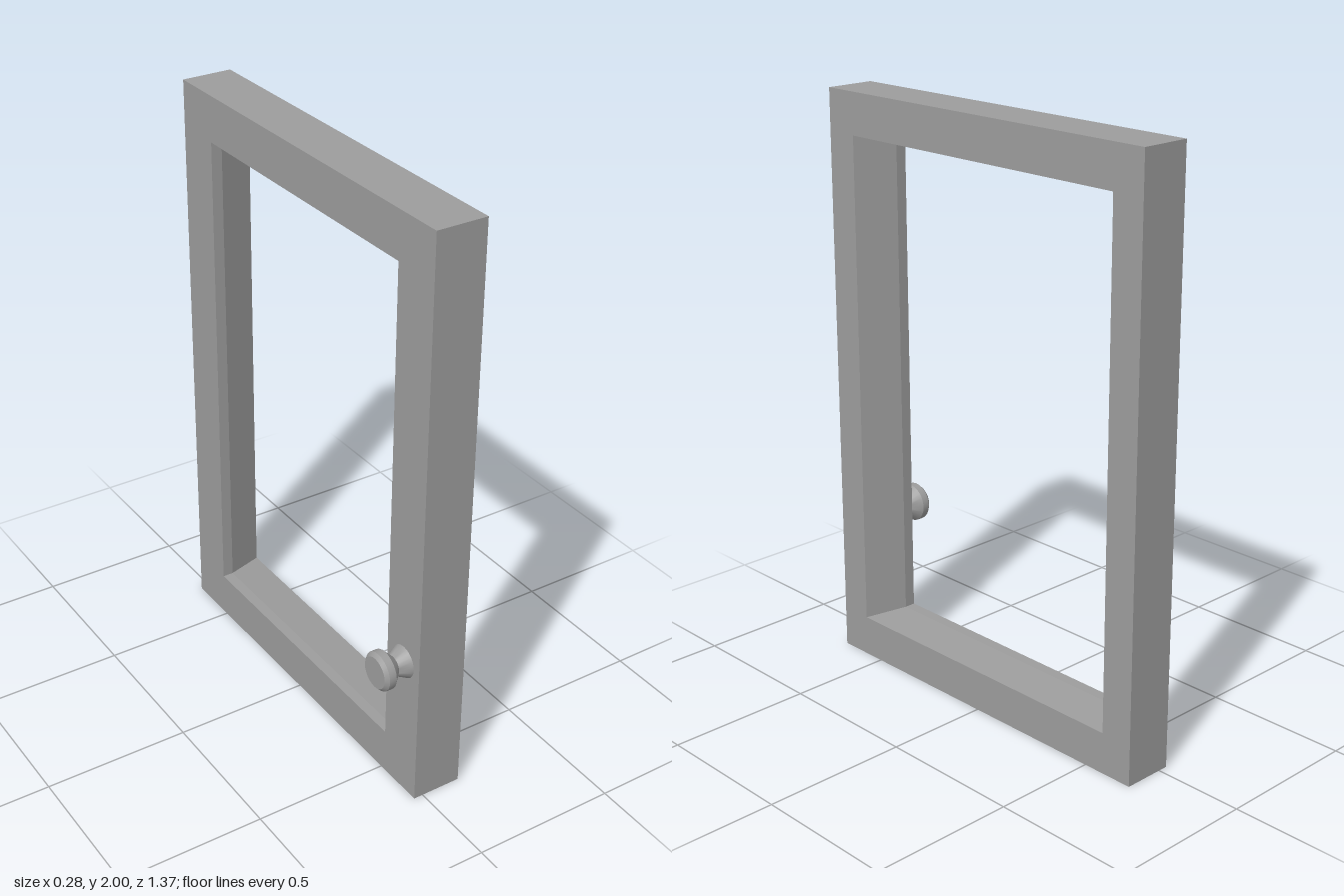
import * as THREE from 'three';
import { toCreasedNormals } from 'three/addons/utils/BufferGeometryUtils.js';

const material = new THREE.MeshStandardMaterial({ color: 0x9c9c9c });

// Sweeps a closed section of [x, halfHeight, halfWidth] around four mitred corners
function mitredFrame(section) {
  const corners = [[-1, 1], [1, 1], [1, -1], [-1, -1]]; // signs of y, z
  const point = (s, c) => [s[0], s[1] * c[0], s[2] * c[1]];
  const positions = [];
  section.forEach((a, i) => {
    const b = section[(i + 1) % section.length];
    corners.forEach((c, j) => {
      const d = corners[(j + 1) % 4];
      const [p, q, r, s] = [point(a, c), point(b, c), point(b, d), point(a, d)];
      positions.push(...p, ...r, ...q, ...p, ...s, ...r);
    });
  });
  const geometry = new THREE.BufferGeometry();
  geometry.setAttribute('position', new THREE.Float32BufferAttribute(positions, 3));
  geometry.computeVertexNormals();
  return geometry;
}

export function createModel() {
  const model = new THREE.Group();
  model.name = 'framedDoor';

  // Frame: square outside, opening flares out towards +x behind a straight lip
  const back = -0.033, front = 0.141;
  const frame = new THREE.Mesh(mitredFrame([
    [back, 1, 0.687],
    [back, 0.843, 0.517],
    [0.005, 0.843, 0.517],
    [front, 0.858, 0.572],
    [front, 1, 0.687],
  ]), material);
  frame.name = 'frame';
  frame.position.y = 1;
  model.add(frame);

  // Knob: flared foot, narrow neck, chamfered head, pointing to -x
  const profile = [[0, 0], [0.056, 0], [0.035, 0.041], [0.066, 0.071],
    [0.066, 0.096], [0.054, 0.108], [0, 0.108]].map(([r, h]) => new THREE.Vector2(r, h));
  const knob = new THREE.Mesh(toCreasedNormals(new THREE.LatheGeometry(profile, 24), 0.5), material);
  knob.name = 'knob';
  knob.rotation.z = Math.PI / 2;
  knob.position.set(back, 0.503, 0.603);
  model.add(knob);

  return model;
}
